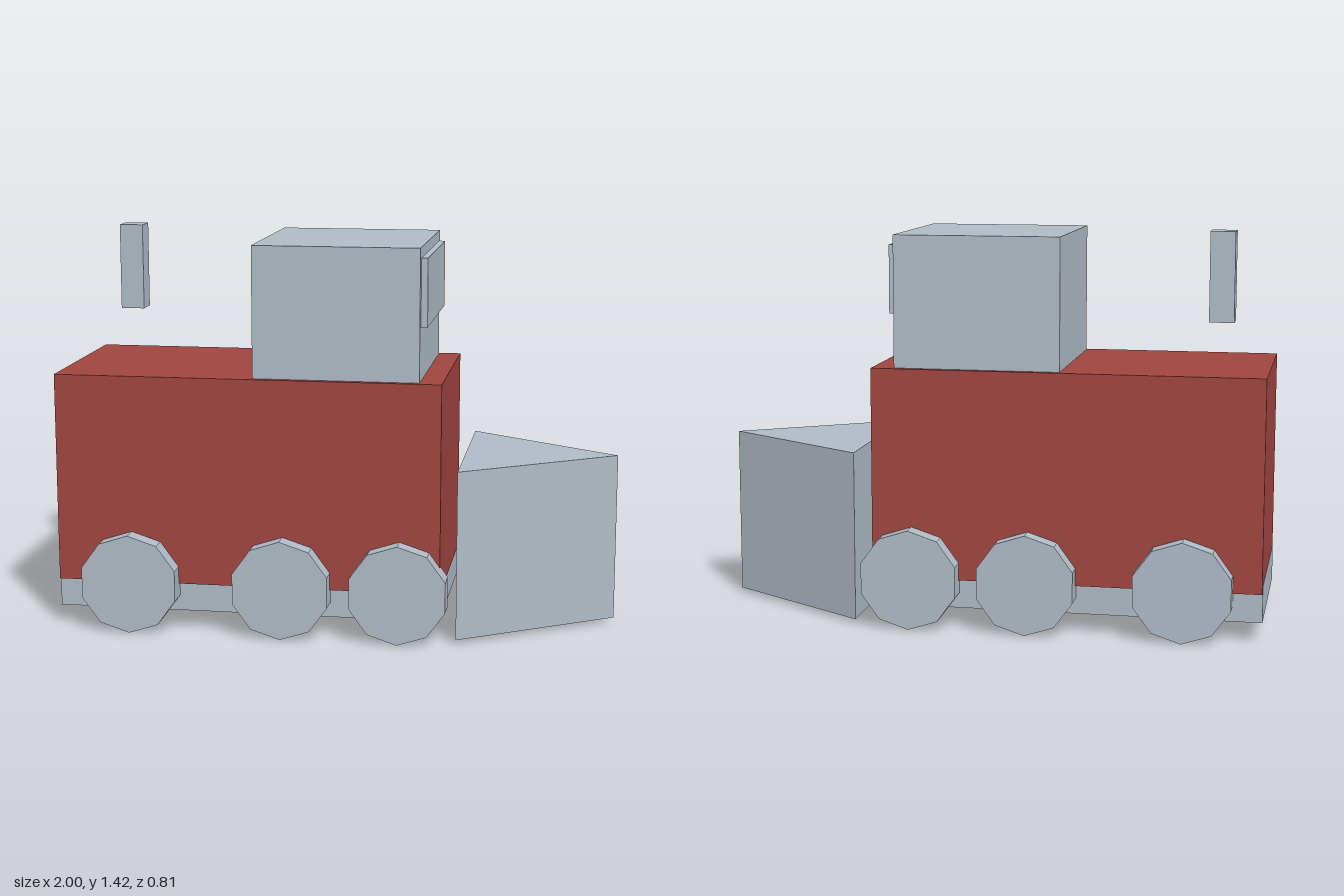
import * as THREE from 'three';

export function createModel() {
  const group = new THREE.Group();
  const material = (name, color) => {
    const m = new THREE.MeshStandardMaterial({ color });
    m.name = name;
    return m;
  };
  const red = material('red paint', 0xa0453f);
  const grey = material('pale grey', 0xb0bac6);

  const add = (name, geometry, mat) => {
    const mesh = new THREE.Mesh(geometry, mat);
    mesh.name = name;
    group.add(mesh);
    return mesh;
  };

  // Box given by its extents along each axis
  const block = (name, mat, [x0, x1], [y0, y1], [z0, z1]) => {
    const mesh = add(name, new THREE.BoxGeometry(x1 - x0, y1 - y0, z1 - z0), mat);
    mesh.position.set((x0 + x1) / 2, (y0 + y1) / 2, (z0 + z1) / 2);
    return mesh;
  };

  // Body, undercarriage, cab, window panel and floating chimney
  block('body', red, [-1, 0.39], [0.175, 0.93], [-0.339, 0.339]);
  block('undercarriage', grey, [-1.002, 0.388], [0.07, 0.2], [-0.32, 0.32]);
  block('cab', grey, [-0.283, 0.31], [0.93, 1.4], [-0.318, 0.318]);
  block('windowPanel', grey, [0.3, 0.333], [1.12, 1.363], [-0.285, 0.285]);
  block('chimney', grey, [-0.877, -0.79], [1.105, 1.42], [-0.223, -0.138]);

  // Wedge-shaped plough with its point forward along +x
  const outline = new THREE.Shape([
    new THREE.Vector2(0.45, -0.358),
    new THREE.Vector2(0.998, 0),
    new THREE.Vector2(0.45, 0.358),
  ]);
  const ploughGeometry = new THREE.ExtrudeGeometry(outline, { depth: 0.61, bevelEnabled: false });
  ploughGeometry.rotateX(-Math.PI / 2);
  add('plough', ploughGeometry, grey).position.y = 0.017;

  // Ten-sided wheels, three on each side; flat rims
  const wheelGeometry = new THREE.CylinderGeometry(0.18, 0.18, 0.085, 10).rotateX(Math.PI / 2).toNonIndexed();
  wheelGeometry.computeVertexNormals();
  for (const side of [-1, 1]) {
    [-0.727, -0.175, 0.245].forEach((x, i) => {
      const wheel = add(`${side > 0 ? 'left' : 'right'}Wheel${i + 1}`, wheelGeometry, grey);
      wheel.position.set(x, 0.182, side * 0.3625);
    });
  }

  return group;
}
